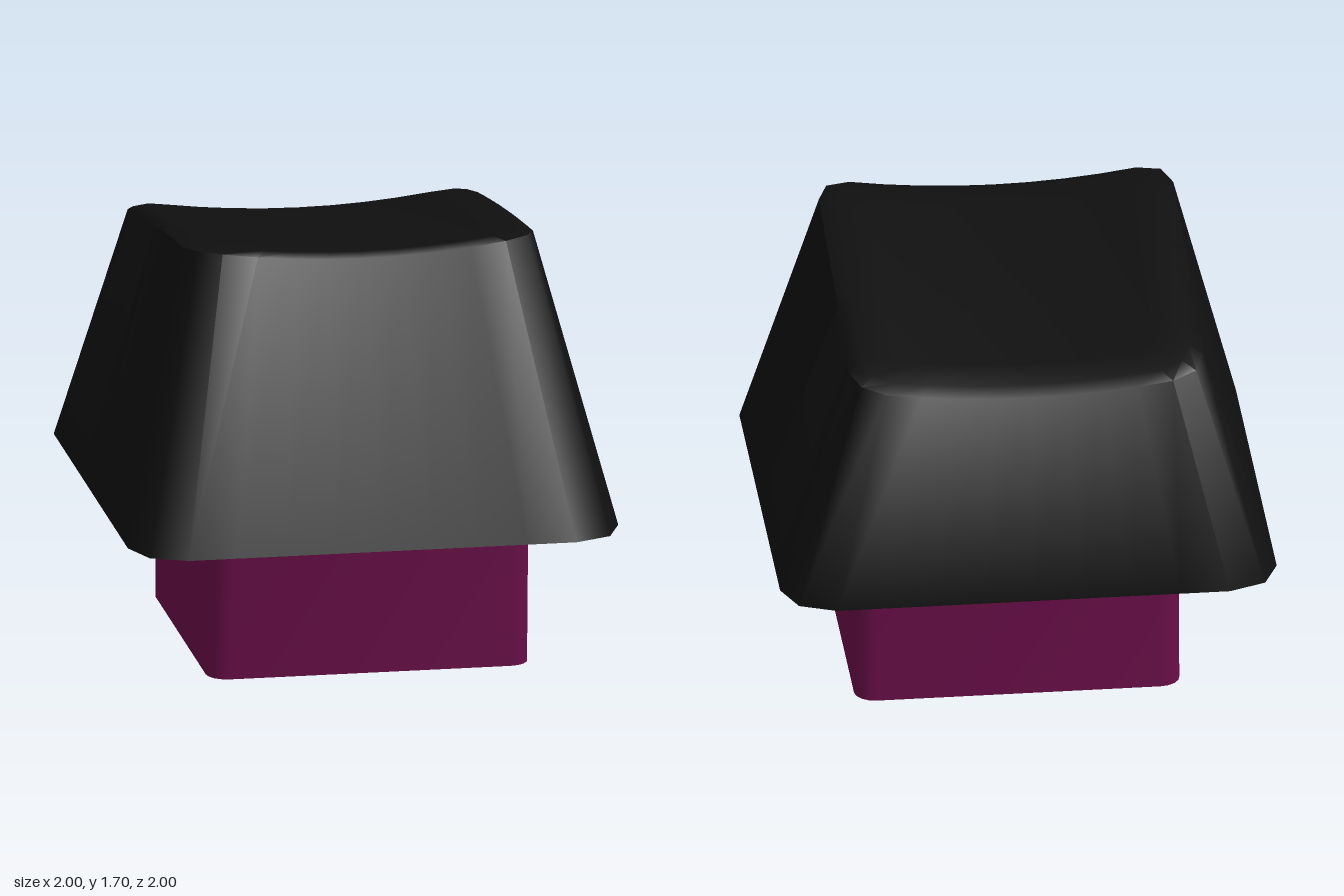
import * as THREE from 'three';
import { toCreasedNormals } from 'three/addons/utils/BufferGeometryUtils.js';

// Rounded rectangle loop, counter-clockwise from above: equal point count for every size
function ring(hx, hz, r, cx, cz, height, sideSteps = 8, cornerSteps = 2) {
  const corners = [[1, -1], [-1, -1], [-1, 1], [1, 1]];
  const outline = [];
  corners.forEach(([sx, sz], q) => {
    for (let i = 0; i <= cornerSteps; i++) {
      const a = (q + i / cornerSteps) * Math.PI / 2;
      outline.push([sx * (hx - r) + r * Math.cos(a), sz * (hz - r) - r * Math.sin(a)]);
    }
  });
  const points = [];
  outline.forEach(([x, z], i) => {
    const [nx, nz] = outline[(i + 1) % outline.length];
    const steps = i % (cornerSteps + 1) === cornerSteps ? sideSteps : 1;
    for (let s = 0; s < steps; s++) {
      const t = s / steps;
      const px = cx + x + (nx - x) * t, pz = cz + z + (nz - z) * t;
      points.push(new THREE.Vector3(px, height(px, pz), pz));
    }
  });
  return points;
}

// Skin between successive loops, dropping collapsed triangles
function loft(rings, crease) {
  const pos = [];
  const tri = (a, b, c) => {
    if (a.distanceTo(b) < 1e-6 || b.distanceTo(c) < 1e-6 || c.distanceTo(a) < 1e-6) return;
    for (const p of [a, b, c]) pos.push(p.x, p.y, p.z);
  };
  for (let k = 0; k < rings.length - 1; k++) {
    const lo = rings[k], up = rings[k + 1], n = lo.length;
    for (let i = 0; i < n; i++) {
      const j = (i + 1) % n;
      tri(lo[i], lo[j], up[j]);
      tri(lo[i], up[j], up[i]);
    }
  }
  const g = new THREE.BufferGeometry();
  g.setAttribute('position', new THREE.Float32BufferAttribute(pos, 3));
  return toCreasedNormals(g, crease);
}

export function createModel() {
  const black = new THREE.MeshStandardMaterial({ color: 0x0f0f0f });
  black.name = 'black';
  const purple = new THREE.MeshStandardMaterial({ color: 0x680e47, side: THREE.DoubleSide });
  purple.name = 'purple';

  const rimY = 0.588;
  const flat = (y) => () => y;
  // Sloping top with a shallow trough running front to back
  const dish = (x, z) => {
    const u = Math.min(1, Math.abs(x) / 0.63);
    return 1.64 + 0.155 * z - 0.03 * z * z - 0.055 * (1 - u * u);
  };

  // Cap: flat underside, tapered skirt, softened top edge, dished top
  const capRings = [
    ring(0, 0, 0, 0, -0.03, flat(rimY)),
    ring(0.957, 0.957, 0.2, 0, -0.03, flat(rimY)),
    ring(0.683, 0.69, 0.13, 0, -0.19, (x, z) => dish(x, z) - 0.02),
  ];
  for (const s of [1, 0.8, 0.55, 0.28, 0]) {
    capRings.push(ring(0.63 * s, 0.64 * s, 0.12 * s, 0, -0.19, dish));
  }
  const cap = new THREE.Mesh(loft(capRings, 0.95), black);
  cap.name = 'cap';

  // Base: thin-walled box, open below and closed under the cap
  const topY = rimY - 0.004;
  const base = new THREE.Mesh(loft([
    ring(0.627, 0.595, 0.08, 0.02, -0.003, flat(0), 1, 4),
    ring(0.627, 0.595, 0.08, 0.02, -0.003, flat(topY), 1, 4),
    ring(0, 0, 0, 0.02, -0.003, flat(topY), 1, 4),
  ], 0.8), purple);
  base.name = 'base';

  // Whole key is slightly tipped forward and turned
  const key = new THREE.Group();
  key.name = 'key';
  key.rotation.set(0.044, -0.06, 0, 'YXZ');
  key.position.y = 0.03;
  key.add(cap, base);

  const model = new THREE.Group();
  model.name = 'keycapOnBase';
  model.add(key);
  return model;
}
